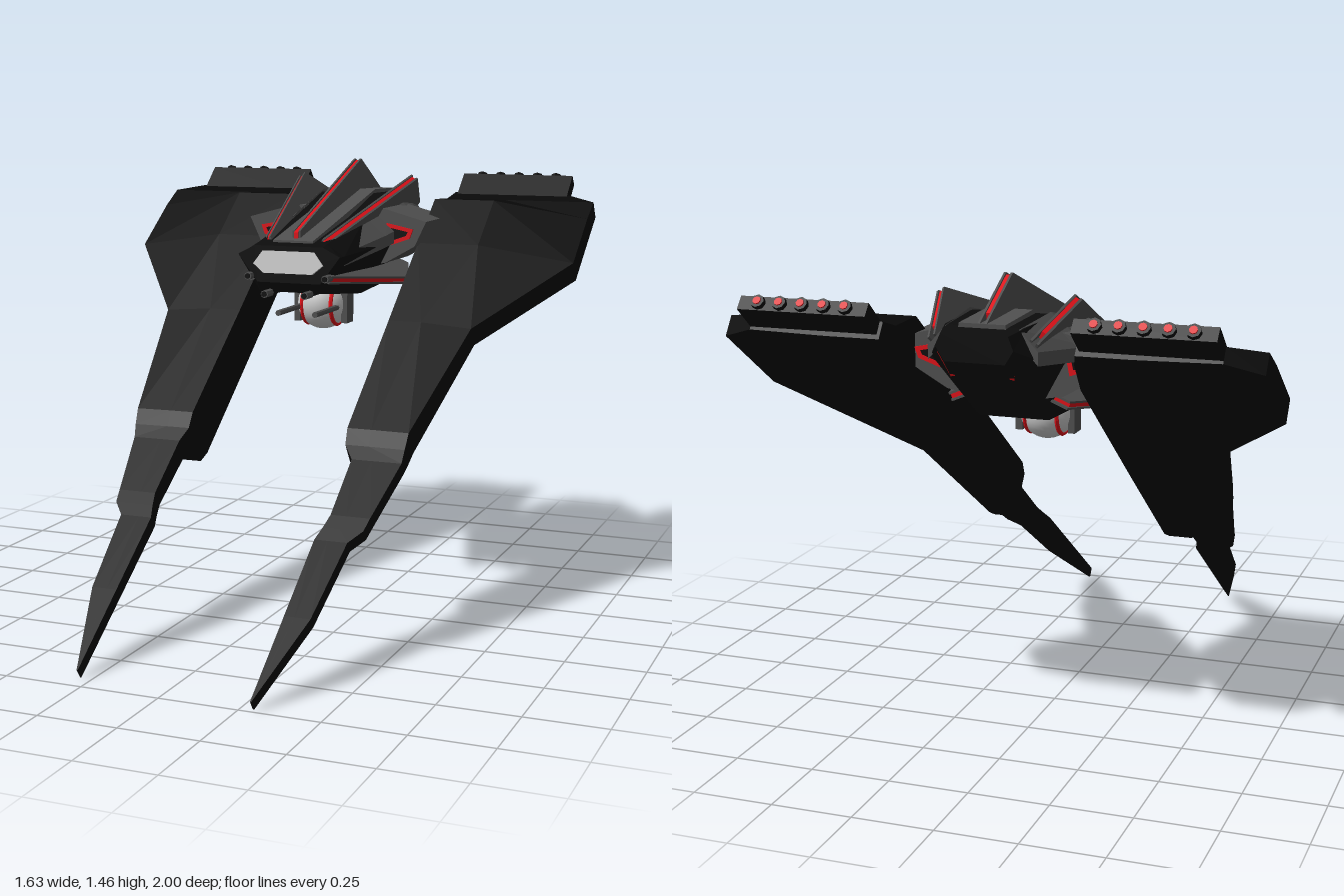
import * as THREE from 'three';

const mat = (color) => new THREE.MeshStandardMaterial({ color, flatShading: true });
const BLACK = mat(0x080808), HULL = mat(0x0c0c0c), GREY = mat(0x505050), RED = mat(0xe01018);
const LIGHT = new THREE.MeshStandardMaterial({ color: 0xcccccc });

function add(parent, name, geo, material, x = 0, y = 0, z = 0) {
  const m = new THREE.Mesh(geo, material);
  m.name = name;
  m.position.set(x, y, z);
  parent.add(m);
  return m;
}

// Skin over rings of [x, y] (counter-clockwise from the front), ordered front to back
function loft(sections) {
  const pos = [];
  const tri = (...p) => p.forEach((v) => pos.push(...v));
  const rings = sections.map(({ z, ring }) => ring.map(([x, y]) => [x, y, z]));
  const n = rings[0].length;
  for (let i = 0; i < rings.length - 1; i++) {
    for (let j = 0; j < n; j++) {
      const k = (j + 1) % n;
      const a = rings[i][j], b = rings[i][k], c = rings[i + 1][k], d = rings[i + 1][j];
      tri(a, d, c);
      tri(a, c, b);
    }
  }
  const f = rings[0], r = rings[rings.length - 1];
  for (let j = 1; j < n - 1; j++) {
    tri(f[0], f[j], f[j + 1]);
    tri(r[0], r[j + 1], r[j]);
  }
  const g = new THREE.BufferGeometry();
  g.setAttribute('position', new THREE.Float32BufferAttribute(pos, 3));
  g.computeVertexNormals();
  return g;
}

const toPoints = (pts) => pts.map(([x, y]) => new THREE.Vector2(x, y));
function plate(pts, depth, hole) {
  const s = new THREE.Shape(toPoints(pts));
  if (hole) s.holes.push(new THREE.Path(toPoints(hole)));
  return new THREE.ExtrudeGeometry(s, { depth, bevelEnabled: false });
}
const rod = (r, length) => new THREE.CylinderGeometry(r, r, length, 8).rotateX(Math.PI / 2);

// Upright plate drawn as [z, radius], centred on x = 0
const finGeo = (pts, t) => plate(pts, t).translate(0, 0, -t / 2).rotateY(-Math.PI / 2);

// Radial fin: a red core held between two grey plates
function fin(parent, name, pivotY, angle, pts, corePts) {
  const g = new THREE.Group();
  g.name = name;
  g.position.y = pivotY;
  g.rotation.z = -angle;
  for (const s of [-1, 1]) add(g, name + 'Plate', finGeo(pts, 0.007), GREY, s * 0.0105);
  add(g, name + 'Core', finGeo(corePts, 0.014), RED);
  parent.add(g);
}

// Long tilted blade wing, local z running along the blade with the tip at 0
function wing() {
  const g = new THREE.Group();
  const TILT = 0.61, TIP_Z = 0.985;
  // z, inner x, outer x, inner top, inner bottom, outer top, outer bottom
  const rows = [
    [0.99, 0.287, 0.291, 0.018, -0.018, 0.018, -0.018],
    [0.74, 0.287, 0.37, 0.02, -0.02, 0.02, -0.018],
    [0.5, 0.287, 0.393, 0.022, -0.022, 0.022, -0.018],
    [0.46, 0.3, 0.43, 0.025, -0.025, 0.025, -0.015],
    [0.42, 0.31, 0.437, 0.028, -0.028, 0.028, -0.015],
    [0.235, 0.31, 0.474, 0.035, -0.035, 0.035, -0.01],
    [0.205, 0.283, 0.478, 0.06, -0.098, 0.058, -0.008],
    [0.165, 0.28, 0.482, 0.085, -0.108, 0.083, -0.005],
    [-0.23, 0.28, 0.56, 0.102, -0.088, 0.085, 0.012],
    [-0.54, 0.28, 0.815, 0.118, -0.07, 0.055, -0.022],
    [-0.73, 0.28, 0.815, 0.125, -0.058, 0.055, -0.022],
    [-0.815, 0.285, 0.815, 0.045, -0.03, 0.045, -0.022],
    [-0.86, 0.3, 0.71, 0.03, -0.025, 0.03, -0.02],
  ];
  const geo = loft(rows.map(([z, a, b, top, bot, oTop, oBot]) => {
    const m = a + (b - a) * 0.4;
    return {
      z: (z - TIP_Z) / Math.cos(TILT),
      ring: [[a, bot], [m, bot], [b, oBot], [b, oTop], [m, top], [a, top]],
    };
  }));
  add(g, 'wingBlade', geo, BLACK);
  // Exhaust bank on the rear edge
  const bank = new THREE.Group();
  bank.name = 'exhaustBank';
  bank.position.set(0.51, 0.015, -2.28);
  bank.rotation.x = 0.1;
  add(bank, 'exhaustHousing', new THREE.BoxGeometry(0.4, 0.045, 0.13), BLACK);
  for (let i = 0; i < 5; i++) {
    const x = (i - 2) * 0.068;
    add(bank, 'nozzle', rod(0.021, 0.1), BLACK, x, 0, -0.03);
    add(bank, 'nozzleGlow', rod(0.012, 0.008), RED, x, 0, -0.08);
  }
  g.add(bank);
  g.position.set(0, 0.015, TIP_Z);
  g.rotation.x = TILT;
  return g;
}

const UPPER = [[-0.05, 0.13], [-0.05, 0.205], [-0.63, 0.414], [-0.84, 0.3], [-0.8, 0.24], [-0.6, 0.24]];
const UPPER_CORE = [[-0.045, 0.135], [-0.045, 0.2], [-0.63, 0.408], [-0.79, 0.322], [-0.78, 0.26]];
const LOWER = [[0.01, 0.1], [0.01, 0.155], [-0.45, 0.27], [-0.64, 0.2], [-0.64, 0.1]];
const LOWER_CORE = [[0.016, 0.105], [0.016, 0.152], [-0.45, 0.268], [-0.63, 0.2], [-0.63, 0.105]];

// Parts repeated on each side of the body
function sideParts() {
  const g = new THREE.Group();
  // Connector between body and wing, with a red-framed dark panel
  const outline = [[0.12, 1.1], [0.18, 1.11], [0.285, 1.17], [0.325, 1.255], [0.16, 1.3], [0.12, 1.3]];
  add(g, 'wingConnector', plate(outline, 0.25), GREY, 0, 0, -0.67);
  const frame = [[0.2, 1.172], [0.268, 1.196], [0.28, 1.228], [0.185, 1.247]];
  const panel = [[0.211, 1.19], [0.256, 1.206], [0.262, 1.219], [0.202, 1.231]];
  for (const z of [-0.425, -0.676]) {
    add(g, 'connectorFrame', plate(frame, 0.012, panel), RED, 0, 0, z);
    add(g, 'connectorPanel', plate(panel, 0.008), HULL, 0, 0, z + 0.002);
  }

  // Grey armour along the upper flank
  const armour = [[-0.06, 0.115, 1.2, 0.165, 1.175], [-0.35, 0.12, 1.28, 0.205, 1.21],
    [-0.62, 0.125, 1.345, 0.238, 1.25], [-0.84, 0.11, 1.33, 0.165, 1.27]];
  add(g, 'flankArmour', loft(armour.map(([z, a, ya, b, yb]) => (
    { z, ring: [[a, ya - 0.04], [b, yb - 0.04], [b, yb], [a, ya]] }))), GREY);

  fin(g, 'upperFin', 1.04, 0.54, UPPER, UPPER_CORE);
  fin(g, 'lowerFin', 1.154, 1.965, LOWER, LOWER_CORE);

  // Nose guns
  for (const [x, y, end] of [[0.135, 1.1, 0.045], [0.07, 1.045, 0.06]]) {
    add(g, 'gunBarrel', rod(0.009, 0.2), HULL, x, y, end - 0.1);
    add(g, 'gunMuzzle', rod(0.013, 0.05), GREY, x, y, end - 0.03);
  }
  // Ball turret bands, mounts and guns
  const band = new THREE.TorusGeometry(0.071, 0.007, 6, 32).rotateY(Math.PI / 2);
  add(g, 'turretBand', band, RED, 0.052, 0.978, -0.3);
  add(g, 'turretMount', new THREE.BoxGeometry(0.022, 0.14, 0.06), GREY, 0.086, 0.985, -0.3);
  add(g, 'turretGun', rod(0.01, 0.25), GREY, 0.065, 0.97, -0.175);
  // Red lights on the tail
  const tail = add(g, 'tailLight', new THREE.BoxGeometry(0.014, 0.09, 0.02), RED, 0.1, 1.23, -0.855);
  tail.rotation.set(-0.5, 0, -0.25);
  return g;
}

function mirrored(parent, name, make, shift = 0) {
  for (const s of [1, -1]) {
    const g = new THREE.Group();
    g.name = (s > 0 ? 'left' : 'right') + name;
    g.add(make());
    g.scale.x = s;
    if (s < 0) g.position.z = shift;
    parent.add(g);
  }
}

export function createModel() {
  const model = new THREE.Group();
  model.name = 'starfighter';
  mirrored(model, 'Wing', wing, -0.05);

  const body = new THREE.Group();
  body.name = 'body';
  model.add(body);
  // Hull: z, top half width, top y, widest half width, its y, bottom half width, bottom y
  const hull = [
    [0.018, 0.12, 1.2, 0.178, 1.17, 0.11, 1.08],
    [-0.02, 0.12, 1.208, 0.18, 1.17, 0.115, 1.045],
    [-0.35, 0.13, 1.27, 0.2, 1.18, 0.115, 1.01],
    [-0.6, 0.13, 1.335, 0.22, 1.22, 0.11, 1.02],
    [-0.82, 0.12, 1.33, 0.165, 1.24, 0.1, 1.17],
    [-0.9, 0.1, 1.32, 0.115, 1.28, 0.09, 1.24],
  ];
  add(body, 'hull', loft(hull.map(([z, a, ya, b, yb, c, yc]) => (
    { z, ring: [[-c, yc], [c, yc], [b, yb], [a, ya], [-a, ya], [-b, yb]] }))), HULL);

  // Wide grey plate along the back
  const spine = [[-0.02, 1.215], [-0.62, 1.348], [-0.84, 1.34]];
  add(body, 'spinePlate', loft(spine.map(([z, y]) => (
    { z, ring: [[-0.075, y - 0.05], [0.075, y - 0.05], [0.07, y], [-0.07, y]] }))), GREY);
  fin(body, 'topFin', 1.04, 0, UPPER, UPPER_CORE);

  // Cockpit window
  const pane = [[-0.085, 0], [0.085, 0], [0.122, 0.03], [0.09, 0.073], [-0.09, 0.073], [-0.122, 0.03]];
  const cockpit = add(body, 'cockpitWindow', plate(pane, 0.014), LIGHT, 0, 1.11, 0.016);
  cockpit.rotation.x = -0.12;

  // Ball turret under the nose
  add(body, 'ballTurret', new THREE.SphereGeometry(0.088, 32, 20), LIGHT, 0, 0.978, -0.3);

  mirrored(body, 'BodyParts', sideParts);
  return model;
}
